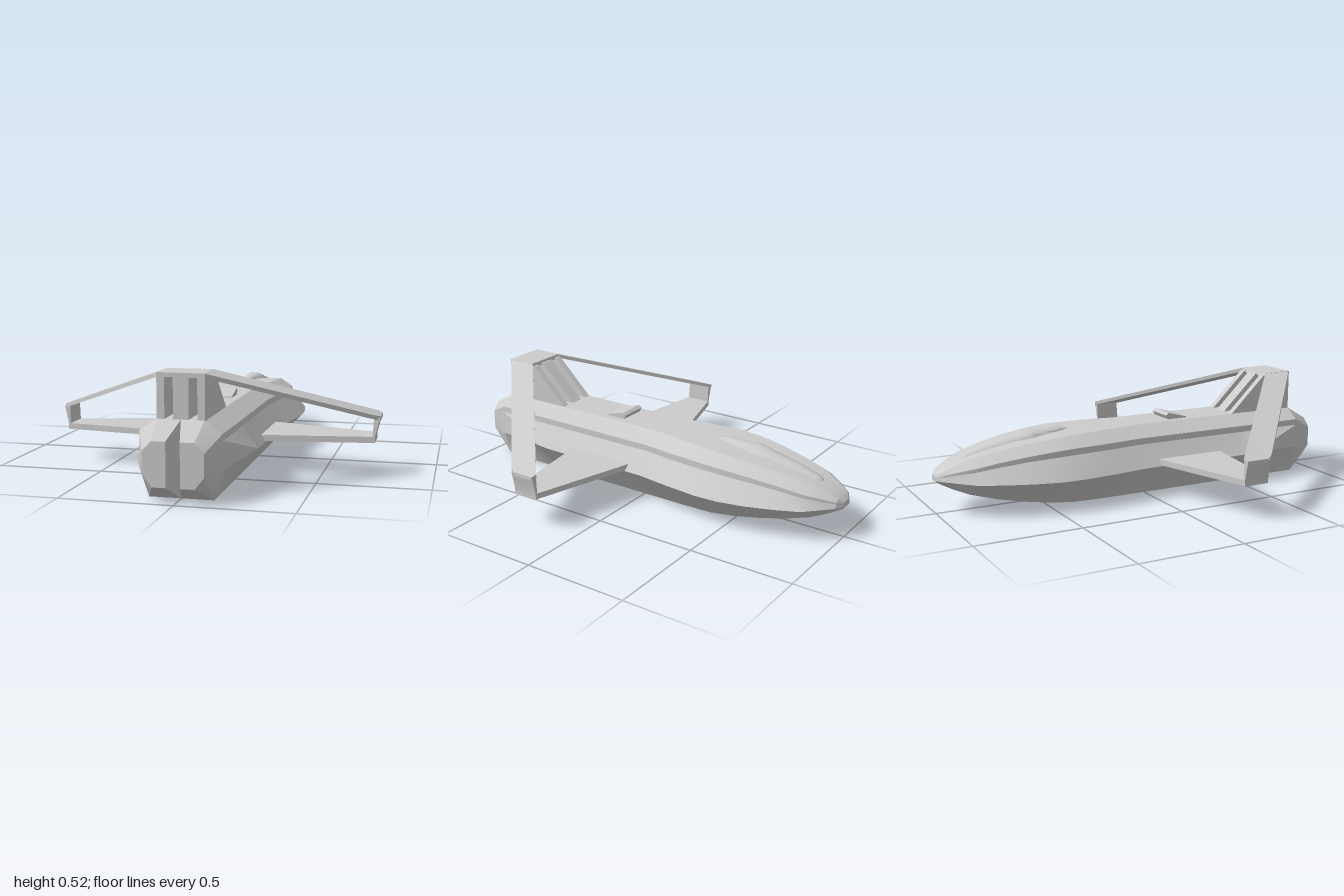
import * as THREE from 'three';
import { toCreasedNormals } from 'three/addons/utils/BufferGeometryUtils.js';

// Skin a list of rings (arrays of [x,y,z], counter-clockwise about the loft direction).
// openUntil: the closing strip of each ring is skipped before this segment.
function loft(rings, { side = 1, openUntil = 0, crease = 0.35 } = {}) {
  const pos = [];
  const n = rings[0].length;
  const tri = (a, b, c) => {
    for (const p of side > 0 ? [a, b, c] : [a, c, b]) pos.push(p[0] * side, p[1], p[2]);
  };
  for (let i = 0; i < rings.length - 1; i++) {
    for (let j = 0; j < n; j++) {
      if (j === n - 1 && i < openUntil) continue;
      const k = (j + 1) % n;
      tri(rings[i][j], rings[i][k], rings[i + 1][k]);
      tri(rings[i][j], rings[i + 1][k], rings[i + 1][j]);
    }
  }
  const first = rings[0], last = rings[rings.length - 1];
  for (let j = 1; j < n - 1; j++) {
    tri(first[0], first[j + 1], first[j]);
    tri(last[0], last[j], last[j + 1]);
  }
  const geo = new THREE.BufferGeometry();
  geo.setAttribute('position', new THREE.Float32BufferAttribute(pos, 3));
  return toCreasedNormals(geo, crease);
}

// Prism along x from a (y, z) outline
const prismX = (x0, x1, outline) =>
  loft([x0, x1].map((x) => outline.map(([y, z]) => [x, y, z])));

// Rectangular ring in a plane of constant x
const rectX = (x, y0, y1, z0, z1) => [[x, y0, z0], [x, y1, z0], [x, y1, z1], [x, y0, z1]];

// Rectangular ring in a plane of constant y
const rectY = (y, x0, x1, z0, z1) => [[x0, y, z0], [x0, y, z1], [x1, y, z1], [x1, y, z0]];

// Hull stations: z, keel y, keel half width, chine half width, chine y,
// side strip half width, strip low y, strip high y, deck half width, deck y
const STATIONS = [
  [-1.0, 0.152, 0.025, 0.035, 0.163, 0.03, 0.172, 0.176, 0.02, 0.18],
  [-0.98, 0.143, 0.045, 0.075, 0.163, 0.065, 0.18, 0.188, 0.05, 0.2],
  [-0.93, 0.118, 0.06, 0.118, 0.16, 0.1, 0.193, 0.205, 0.066, 0.226],
  [-0.86, 0.09, 0.08, 0.18, 0.157, 0.14, 0.205, 0.222, 0.085, 0.255],
  [-0.75, 0.06, 0.1, 0.222, 0.154, 0.166, 0.222, 0.243, 0.108, 0.281],
  [-0.62, 0.033, 0.115, 0.263, 0.152, 0.193, 0.238, 0.262, 0.13, 0.303],
  [-0.5, 0.015, 0.13, 0.285, 0.15, 0.21, 0.246, 0.274, 0.145, 0.317],
  [-0.38, 0.003, 0.14, 0.29, 0.15, 0.215, 0.25, 0.28, 0.147, 0.327],
  [-0.2, 0, 0.14, 0.272, 0.15, 0.2, 0.25, 0.28, 0.128, 0.33],
  [-0.04, 0, 0.14, 0.25, 0.15, 0.18, 0.25, 0.28, 0.103, 0.33],
  [0.52, 0, 0.14, 0.25, 0.15, 0.18, 0.25, 0.28, 0.103, 0.33],
  [0.57, 0, 0.14, 0.26, 0.16, 0.18, 0.25, 0.28, 0.103, 0.33],
  [0.88, 0, 0.14, 0.185, 0.135, 0.178, 0.25, 0.28, 0.1, 0.33],
  [1.0, 0.07, 0.09, 0.13, 0.12, 0.13, 0.21, 0.218, 0.09, 0.26],
];

// Half of the hull; the centre opens into a V notch between the two stern blocks
function hullHalf(side) {
  const rings = STATIONS.map(([z, yk, k, w, yw, s, yl, yh, d, yd]) => {
    const inner = z === 1 ? 0.03 : 0;
    return [[inner, yk, z], [k, yk, z], [w, yw, z], [s, yl, z], [s, yh, z], [d, yd, z], [inner, yd, z]];
  });
  return loft(rings, { side, openUntil: STATIONS.length - 2, crease: 0.38 });
}

// Raised canopy stations: z, right edge, left edge, base y, top y
const CANOPY = [
  [-0.88, -0.02, 0.02, 0.235, 0.25],
  [-0.86, -0.035, 0.035, 0.24, 0.264],
  [-0.75, -0.045, 0.045, 0.265, 0.294],
  [-0.62, -0.052, 0.052, 0.29, 0.321],
  [-0.54, -0.065, 0.06, 0.3, 0.342],
  [-0.47, -0.045, 0.042, 0.31, 0.338],
  [-0.39, -0.035, 0.038, 0.315, 0.343],
  [-0.34, -0.008, 0.008, 0.32, 0.329],
];

export function createModel() {
  const root = new THREE.Group();
  const material = new THREE.MeshStandardMaterial({ color: 0xcccccc });
  const add = (name, geometry) => {
    const mesh = new THREE.Mesh(geometry, material);
    mesh.name = name;
    root.add(mesh);
  };

  // Canopy on the bow
  add('canopy', loft(CANOPY.map(([z, r, l, yb, yt]) => [
    [l, yb, z], [l * 0.75, yb + (yt - yb) * 0.7, z], [l * 0.3, yt, z],
    [r * 0.3, yt, z], [r * 0.75, yb + (yt - yb) * 0.7, z], [r, yb, z],
  ]), { crease: 0.7 }));

  // Wedge on the deck
  add('deckWedge', prismX(-0.068, 0.068, [[0.325, 0.18], [0.35, 0.165], [0.362, 0.18], [0.335, 0.28], [0.325, 0.28]]));

  // Tower of three uprights with a cap plate
  const upright = [[0.32, 0.52], [0.51, 0.72], [0.51, 0.88], [0.32, 0.88]];
  for (const [x0, x1] of [[-0.103, -0.07], [-0.033, 0.033], [0.07, 0.103]]) {
    add('towerUpright', prismX(x0, x1, upright));
  }
  add('towerCap', prismX(-0.103, 0.103, [[0.503, 0.727], [0.522, 0.735], [0.522, 0.88], [0.503, 0.88]]));

  for (const side of [1, -1]) {
    const prefix = side > 0 ? 'left' : 'right';
    add(prefix + 'Hull', hullHalf(side));

    // Lower wing
    add(prefix + 'Wing', loft([
      rectX(0.18, 0.153, 0.181, 0.02, 0.385),
      rectX(0.73, 0.153, 0.181, 0.18, 0.305),
    ], { side }));

    // Swept beam from the tower to the wing tip
    add(prefix + 'Beam', loft([
      rectX(0.1, 0.503, 0.522, 0.733, 0.88),
      rectX(0.735, 0.262, 0.281, 0.17, 0.318),
      rectX(0.757, 0.254, 0.272, 0.178, 0.285),
    ], { side }));

    // Upright plate joining beam and wing
    add(prefix + 'TipPlate', loft([
      rectY(0.153, 0.724, 0.734, 0.18, 0.305),
      rectY(0.181, 0.724, 0.734, 0.18, 0.305),
      rectY(0.266, 0.728, 0.755, 0.178, 0.3),
    ], { side }));
  }
  return root;
}
